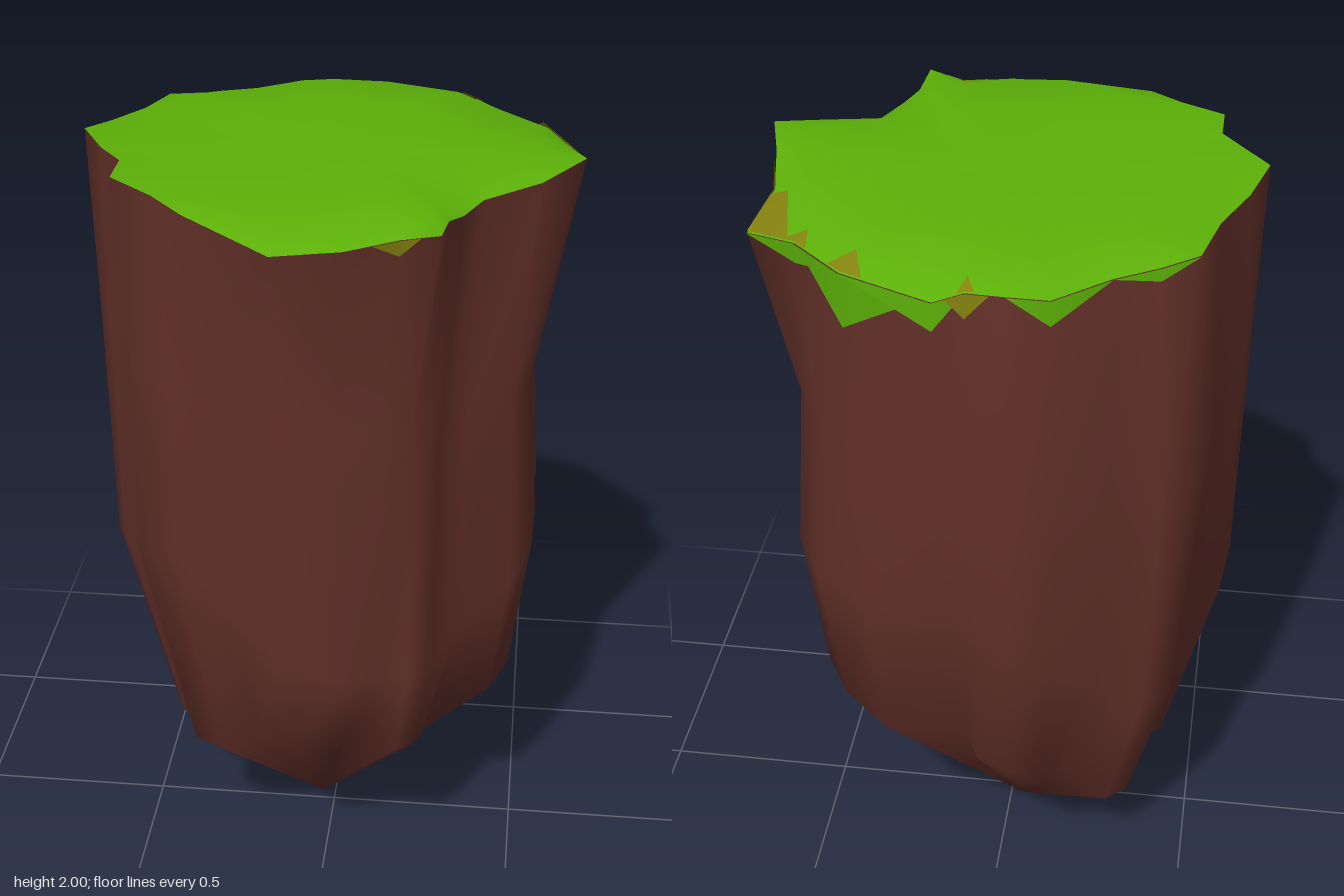
import * as THREE from 'three';

// Top outline going round from +x towards +z: x, z, height
const RIM = [
  [0.60, 0.11, 2.0], [0.50, 0.20, 1.97], [0.37, 0.27, 1.95], [0.33, 0.37, 1.95], [0.30, 0.43, 1.96],
  [0.29, 0.54, 1.97], [0.20, 0.525, 1.95], [0.08, 0.58, 1.94], [-0.08, 0.60, 1.93], [-0.29, 0.48, 1.97],
  [-0.37, 0.40, 1.98], [-0.48, 0.32, 1.99], [-0.48, 0.21, 1.99], [-0.54, 0.13, 1.99], [-0.60, 0.03, 2.0],
  [-0.56, -0.09, 1.98], [-0.50, -0.22, 1.97], [-0.465, -0.36, 1.96], [-0.38, -0.41, 1.95], [-0.28, -0.455, 1.94],
  [-0.155, -0.55, 1.93], [-0.06, -0.565, 1.94], [0.03, -0.56, 1.94], [0.10, -0.575, 1.92], [0.32, -0.49, 1.93],
  [0.45, -0.35, 1.92], [0.59, -0.24, 1.88], [0.54, -0.15, 1.95], [0.57, 0.0, 1.98],
];
const N = RIM.length;

// Radius and height of waist, belly and shoulder in eight directions, from +x towards +z
const PROFILES = [
  [[0.505, 1.42], [0.535, 1.0], [0.49, 0.6]],
  [[0.46, 1.37], [0.47, 0.72], [0.42, 0.46]],
  [[0.47, 1.48], [0.485, 0.74], [0.385, 0.47]],
  [[0.53, 1.48], [0.545, 1.05], [0.41, 0.37]],
  [[0.58, 1.55], [0.565, 0.88], [0.43, 0.34]],
  [[0.605, 1.33], [0.56, 0.66], [0.43, 0.26]],
  [[0.60, 1.42], [0.53, 1.0], [0.50, 0.54]],
  [[0.55, 1.45], [0.58, 0.98], [0.515, 0.56]],
];
// Rim points below which a groove runs down to the tip
const GROOVES = [2, 6, 9, 12, 16, 19, 23, 27];

const rimPoint = (i) => {
  const [x, z, y] = RIM[(i + N) % N];
  return new THREE.Vector3(x, y, z);
};
const rimRadius = (i) => Math.hypot(RIM[(i + N) % N][0], RIM[(i + N) % N][1]);

// Point of the rock below rim point i at the given level
function rockPoint(i, level) {
  const k = (i + N) % N;
  const angle = Math.atan2(RIM[k][1], RIM[k][0]);
  const s = ((angle / (Math.PI / 4)) + 8) % 8;
  const a = PROFILES[Math.floor(s) % 8][level], b = PROFILES[(Math.floor(s) + 1) % 8][level];
  const t = s - Math.floor(s);
  const around = (rimRadius(k - 2) + rimRadius(k + 2)) / 2;
  const ridge = THREE.MathUtils.clamp(rimRadius(k) / around, 0.88, 1.04);
  const groove = GROOVES.includes(k) ? [0.98, 0.94, 0.8][level] : 1;
  const r = THREE.MathUtils.lerp(a[0], b[0], t) * Math.pow(ridge, 0.5) * groove;
  return new THREE.Vector3(Math.cos(angle) * r, THREE.MathUtils.lerp(a[1], b[1], t), Math.sin(angle) * r);
}

function meshFrom(name, points, index, material) {
  const geometry = new THREE.BufferGeometry().setFromPoints(points);
  geometry.setIndex(index);
  geometry.computeVertexNormals();
  const mesh = new THREE.Mesh(geometry, material);
  mesh.name = name;
  return mesh;
}

// Joins consecutive rings of N points with quads
function ringFaces(rings) {
  const index = [];
  for (let r = 0; r < rings - 1; r++) {
    for (let i = 0; i < N; i++) {
      const j = (i + 1) % N, a = r * N + i, b = r * N + j, c = a + N, d = b + N;
      index.push(a, b, d, a, d, c);
    }
  }
  return index;
}

// Grooved rock tapering to a point
function makeRock(material) {
  const points = [];
  for (let i = 0; i < N; i++) points.push(rimPoint(i));
  for (let level = 0; level < 3; level++) for (let i = 0; i < N; i++) points.push(rockPoint(i, level));
  const index = ringFaces(4);
  const tip = points.push(new THREE.Vector3(-0.035, 0, -0.035)) - 1;
  for (let i = 0; i < N; i++) index.push(3 * N + i, 3 * N + ((i + 1) % N), tip);
  return meshFrom('rock', points, index, material);
}

// Point of the grass surface on the way from the rim (scale 1) to the middle
function grassPoint(i, scale) {
  const p = rimPoint(i);
  const blend = Math.min(1, (1 - scale) * 5.4);
  return new THREE.Vector3(p.x * scale, THREE.MathUtils.lerp(p.y, 1.985, blend), p.z * scale);
}

// Gently domed grass
function makeGrass(material) {
  const points = [];
  for (const scale of [0.5, 0.86, 1]) for (let i = 0; i < N; i++) points.push(grassPoint(i, scale));
  const index = ringFaces(3);
  const centre = points.push(new THREE.Vector3(0, 1.98, 0)) - 1;
  for (let i = 0; i < N; i++) index.push(centre, (i + 1) % N, i);
  return meshFrom('grassTop', points, index, material);
}

// Rim point i between two points part of the way to its neighbours
const rimSpan = (i, reach) => [
  rimPoint(i).lerp(rimPoint(i - 1), reach), rimPoint(i), rimPoint(i).lerp(rimPoint(i + 1), reach),
];

// Pointed grass fringe hanging from the rim over the rock
function makeFringe(i, drop, reach, material) {
  const end = rimPoint(i).lerp(rockPoint(i, 0), drop / (rimPoint(i).y - rockPoint(i, 0).y));
  const points = [...rimSpan(i, reach), end];
  for (const p of points) p.add(new THREE.Vector3(p.x, 0, p.z).setLength(0.004));
  return meshFrom('grassFringe', points, [0, 1, 3, 1, 2, 3], material);
}

// Dry patch lying on the grass at the rim
function makePatch(i, reach, scale, material) {
  const points = [...rimSpan(i, reach), grassPoint(i, scale)];
  for (const p of points) p.y += 0.005;
  return meshFrom('dryGrassPatch', points, [3, 1, 0, 3, 2, 1], material);
}

export function createModel() {
  const brown = new THREE.MeshStandardMaterial({ color: 0x65312a });
  brown.name = 'earth brown';
  const green = new THREE.MeshStandardMaterial({ color: 0x5cb008, side: THREE.DoubleSide });
  green.name = 'grass green';
  const olive = new THREE.MeshStandardMaterial({ color: 0x84820f, side: THREE.DoubleSide });
  olive.name = 'dry grass olive';

  const group = new THREE.Group();
  group.name = 'floatingIsland';
  group.add(makeRock(brown), makeGrass(green));
  // Rim point, drop and reach of each fringe
  for (const [i, drop, reach] of [[18, 0.03, 1], [20, 0.06, 1], [23, 0.07, 1], [24, 0.14, 0.9], [25, 0.05, 1]]) {
    group.add(makeFringe(i, drop, reach, green));
  }
  for (const [i, drop, reach] of [[22, 0.06, 0.6], [27, 0.09, 0.75], [6, 0.04, 0.5]]) {
    group.add(makeFringe(i, drop, reach, olive));
  }
  // Rim point, reach and inner scale of each dry patch along the back left
  for (const [i, reach, scale] of [[22, 0.25, 0.93], [24, 0.25, 0.9], [25, 0.25, 0.94], [26, 0.85, 0.84]]) {
    group.add(makePatch(i, reach, scale, olive));
  }
  return group;
}
